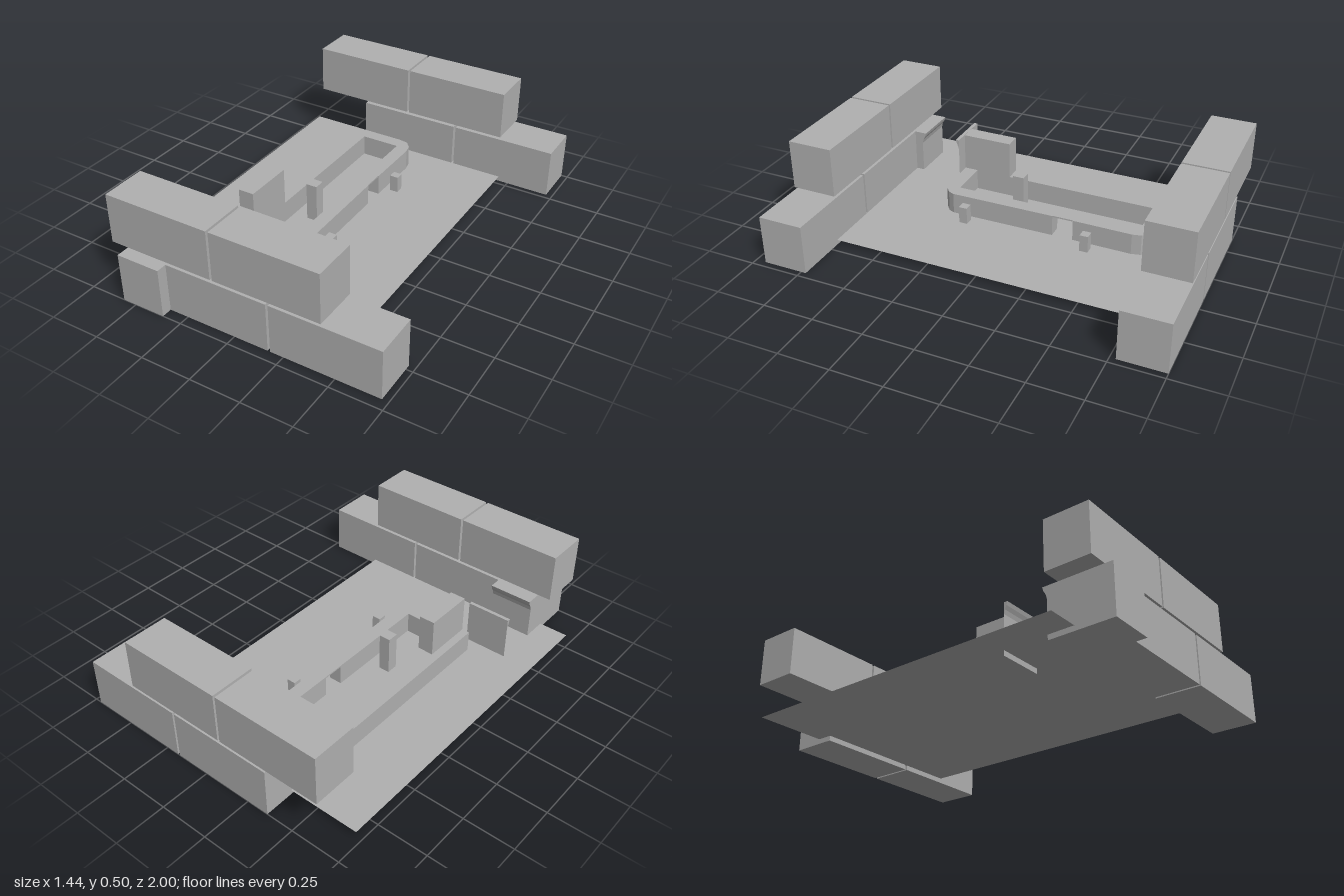
import * as THREE from 'three';

export function createModel() {
  const group = new THREE.Group();
  const stone = new THREE.MeshStandardMaterial({ color: 0xb0b0b0, side: THREE.DoubleSide });
  stone.name = 'plain grey';

  const add = (name, geometry) => {
    const mesh = new THREE.Mesh(geometry, stone);
    mesh.name = name;
    group.add(mesh);
    return mesh;
  };
  // Box given by its extents on each axis
  const box = (name, x0, x1, y0, y1, z0, z1) => {
    const g = new THREE.BoxGeometry(x1 - x0, y1 - y0, z1 - z0);
    return add(name, g.translate((x0 + x1) / 2, (y0 + y1) / 2, (z0 + z1) / 2));
  };
  const shapeOf = (points) => new THREE.Shape(points.map(([a, b]) => new THREE.Vector2(a, b)));
  const extrude = (shape, depth) => new THREE.ExtrudeGeometry(shape, { depth, bevelEnabled: false });

  // Floor sheet
  const floorY = 0.025;
  add('floor', new THREE.PlaneGeometry(1.17, 1.665).rotateX(-Math.PI / 2).translate(-0.135, floorY, -0.0225));

  // Two staggered courses of long blocks at the front and the back
  for (const [side, z0, z1] of [['front', 0.725, 0.948], ['back', -1, -0.778]]) {
    for (const [course, start, y0] of [['Lower', -0.362, 0], ['Upper', -0.642, 0.259]]) {
      for (let i = 0; i < 2; i++) {
        const x = start + i * 0.546;
        box(`${side}${course}Block${i + 1}`, x, x + 0.534, y0, y0 + 0.245, z0, z1);
      }
    }
  }

  // End block and thin panel, both with a flared upper lip, drawn as (z, y) profiles
  const alongX = (name, points) =>
    add(name, extrude(shapeOf(points), 0.222).rotateY(-Math.PI / 2).translate(-0.346, 0, 0));
  alongX('endBlock', [[1, 0], [1, 0.245], [0.662, 0.245], [0.668, 0.225], [0.678, 0.208], [0.684, 0.185], [0.684, 0]]);
  alongX('panelLip', [[0.467, 0.19], [0.472, 0.21], [0.48, 0.228], [0.485, 0.245], [0.467, 0.245]]);
  add('panel', new THREE.PlaneGeometry(0.222, 0.245).translate(-0.457, 0.1225, 0.467));

  // Counter running around an open middle, with a doorway in one side, as an (x, z) outline
  const counter = [
    [-0.012, -0.2], [-0.008, 0.33], [-0.02, 0.36], [-0.055, 0.388], [-0.1, 0.397],
    [-0.4, 0.397], [-0.4, -0.628], [-0.36, -0.628], [-0.36, -0.688], [-0.1, -0.688],
    [-0.05, -0.68], [-0.02, -0.645], [-0.01, -0.6], [-0.012, -0.305],
    [-0.08, -0.305], [-0.08, -0.62], [-0.28, -0.62], [-0.28, 0.328], [-0.08, 0.328], [-0.08, -0.2],
  ];
  add('counter', extrude(shapeOf(counter.map(([x, z]) => [x, -z])), 0.107)
    .rotateX(-Math.PI / 2).translate(0, floorY, 0));
  box('doorwayLid', -0.08, -0.015, 0.125, 0.132, -0.305, -0.2);

  // Tall cabinet on the counter, post in the middle, two stools outside
  box('cabinet', -0.36, -0.28, 0.13, 0.32, 0.145, 0.397);
  box('post', -0.205, -0.148, floorY, 0.222, 0.01, 0.067);
  for (const z of [-0.39, 0.242]) box('stool', 0.02, 0.064, floorY, 0.111, z - 0.021, z + 0.021);

  return group;
}
